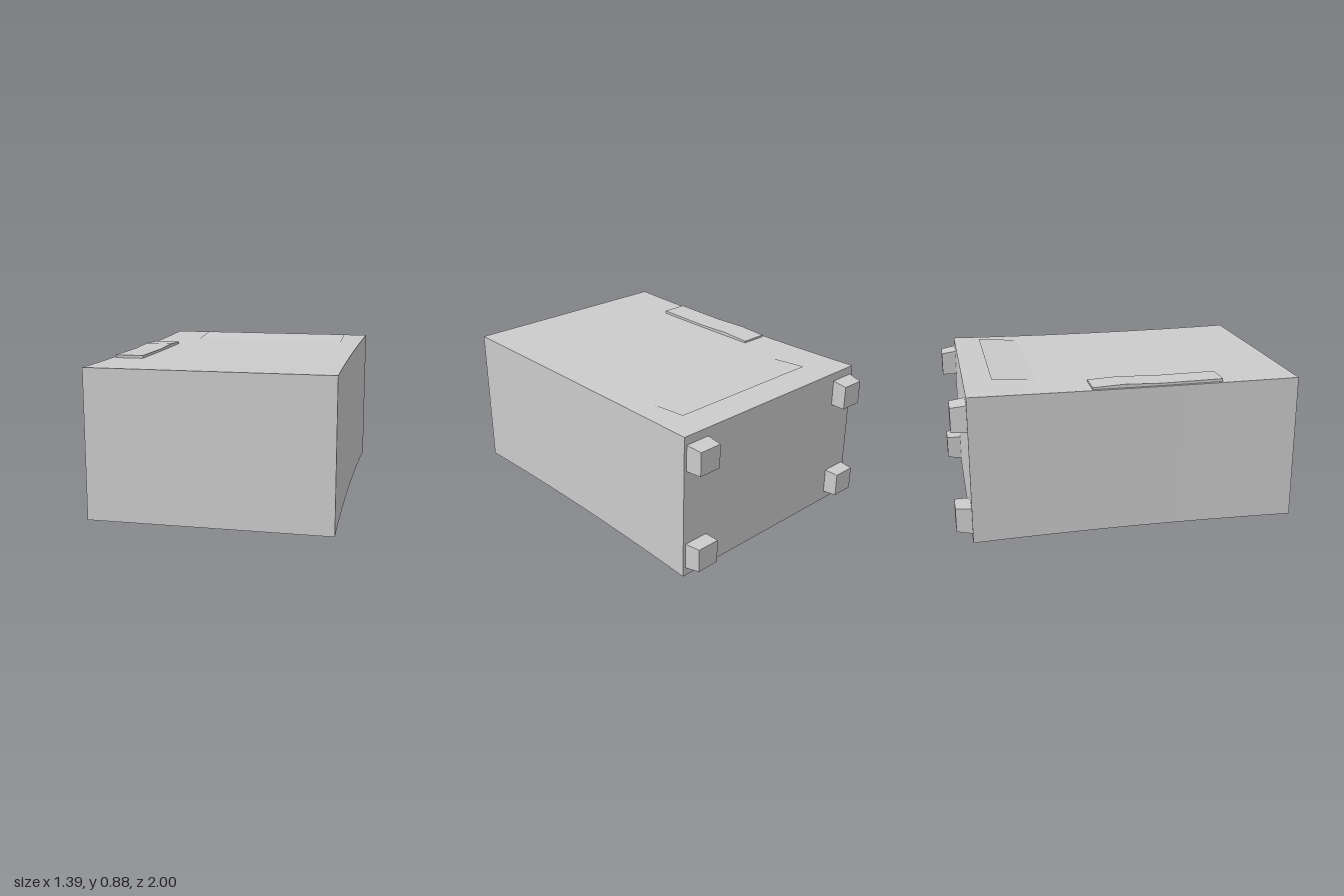
import * as THREE from 'three';

const grey = new THREE.MeshStandardMaterial({ color: 0xcccccc });
const greyThin = new THREE.MeshStandardMaterial({ color: 0xcccccc, side: THREE.DoubleSide });

function add(group, name, geometry, material = grey) {
  const mesh = new THREE.Mesh(geometry, material);
  mesh.name = name;
  group.add(mesh);
  return mesh;
}

// Move every vertex by a rule and refresh the normals
function reshape(geometry, rule) {
  const p = geometry.attributes.position;
  const v = new THREE.Vector3();
  for (let i = 0; i < p.count; i++) {
    rule(v.fromBufferAttribute(p, i));
    p.setXYZ(i, v.x, v.y, v.z);
  }
  geometry.computeVertexNormals();
  return geometry;
}

export function createModel() {
  const model = new THREE.Group();
  model.name = 'case';

  // Long box with a very slight waist half way along
  const zMid = 0.045, zHalf = 0.955, yMid = 0.4325;
  const body = new THREE.BoxGeometry(1.39, 0.865, 2 * zHalf, 1, 1, 12);
  reshape(body, (v) => {
    const pinch = 1 - (v.z / zHalf) ** 2;
    v.x -= Math.sign(v.x) * 0.013 * pinch;
    v.y -= Math.sign(v.y) * 0.008 * pinch;
  });
  add(model, 'body', body.translate(0, yMid, zMid));

  // Four feet on the back, tapering on their outer sides
  for (const sx of [-1, 1]) {
    for (const sy of [-1, 1]) {
      const foot = reshape(new THREE.BoxGeometry(0.155, 0.155, 0.09), (v) => {
        if (v.z < 0) {
          if (v.x * sx > 0) v.x -= sx * 0.015;
          if (v.y * sy > 0) v.y -= sy * 0.013;
        }
      });
      const name = (sy > 0 ? 'upper' : 'lower') + (sx > 0 ? 'Left' : 'Right') + 'Foot';
      add(model, name, foot).position.set(sx * 0.6, yMid + sy * 0.304, -0.955);
    }
  }

  // Three low keys in a row, tilted against each other
  const keys = new THREE.Group();
  keys.name = 'keyStrip';
  const tops = [[0.55, 0.876], [0.19, 0.871], [-0.03, 0.878], [-0.21, 0.869]];
  for (let i = 0; i < 3; i++) {
    const [z0, y0] = tops[i], [z1, y1] = tops[i + 1];
    const side = new THREE.Shape([
      new THREE.Vector2(z0, 0.85), new THREE.Vector2(z0, y0),
      new THREE.Vector2(z1, y1), new THREE.Vector2(z1, 0.85),
    ]);
    const key = new THREE.ExtrudeGeometry(side, { depth: 0.165, bevelEnabled: false });
    add(keys, 'key' + (i + 1), key.rotateY(-Math.PI / 2).translate(-0.5, 0, 0));
  }
  model.add(keys);

  // Thin flap rising towards the back
  const rise = 0.022, run = 0.25;
  const flap = new THREE.PlaneGeometry(0.985, Math.hypot(rise, run));
  flap.rotateX(-Math.PI / 2 + Math.atan2(rise, run));
  add(model, 'flap', flap, greyThin).position.set(0.063, 0.872, -0.625);

  return model;
}
